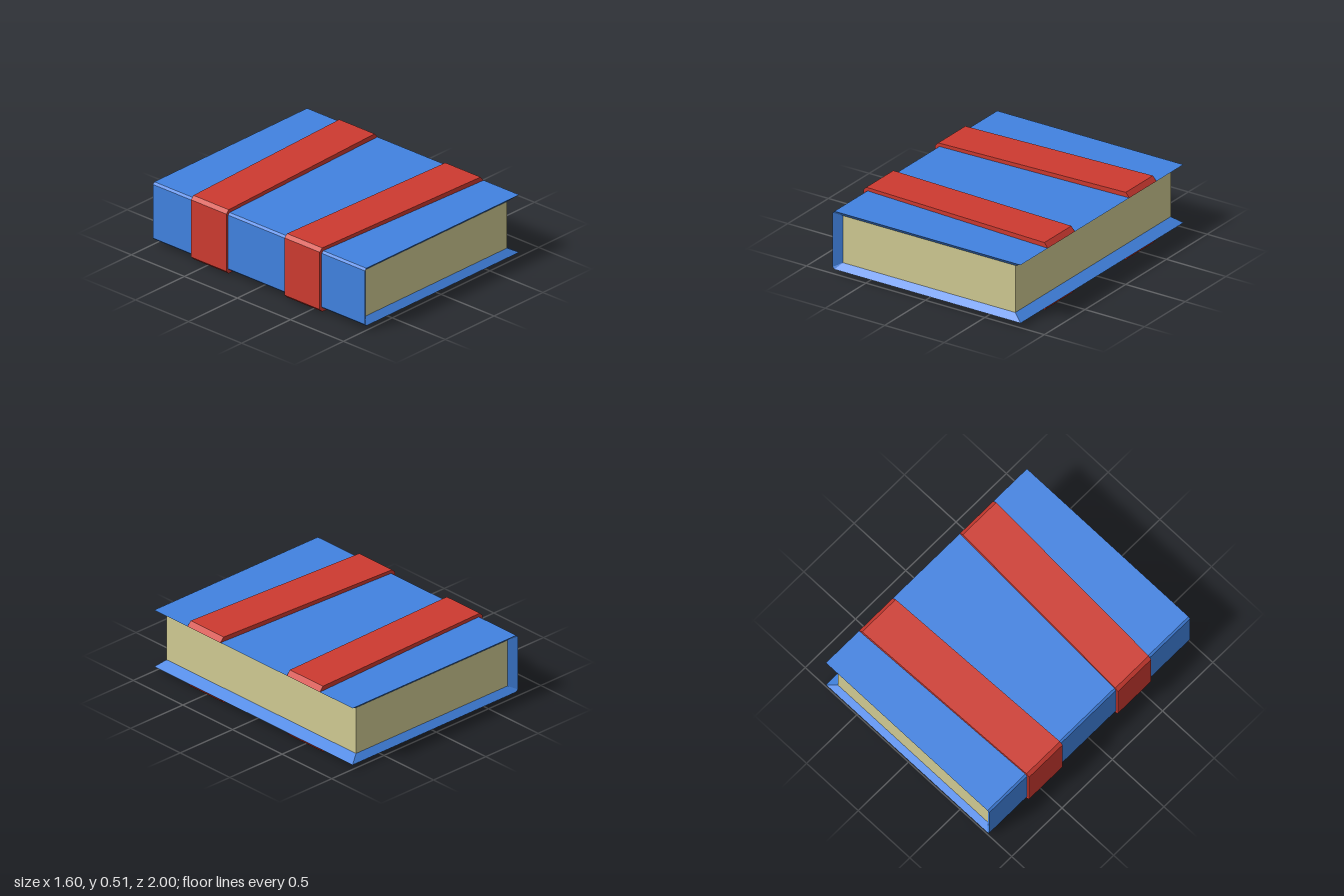
import * as THREE from 'three';

const material = (name, color) => {
  const m = new THREE.MeshStandardMaterial({ color });
  m.name = name;
  return m;
};

// Hollow cover: outer C-shaped profile with mitred lips running in to the pages
function coverGeometry() {
  const outer = [[0.8, 0.48], [-0.765, 0.48], [-0.78, 0.465], [-0.78, 0.05], [-0.765, 0.035], [0.8, 0.035]];
  const inner = [[0.725, 0.44], [-0.725, 0.44], [-0.725, 0.44], [-0.725, 0.08], [-0.725, 0.08], [0.725, 0.08]];
  const at = (profile, z) => profile.map(([x, y]) => [x, y, z]);
  const loops = [at(inner, -0.955), at(outer, -1), at(outer, 1), at(inner, 0.955)];
  const pos = [];
  const quad = (a, b, c, d) => pos.push(...a, ...b, ...c, ...a, ...c, ...d);
  for (let j = 0; j < 3; j++) {
    for (let i = 0; i < 5; i++) {
      quad(loops[j][i], loops[j][i + 1], loops[j + 1][i + 1], loops[j + 1][i]);
    }
  }
  // Lips along the open edge of both boards
  const [ib, ob, of, inf] = loops;
  quad(ob[0], of[0], inf[0], ib[0]);
  quad(ib[5], inf[5], of[5], ob[5]);
  const g = new THREE.BufferGeometry();
  g.setAttribute('position', new THREE.Float32BufferAttribute(pos, 3));
  g.computeVertexNormals();
  return g;
}

// Strap wrapped around the spine, its sides slanting from zLeft to zRight
function strapGeometry(zLeft, zRight, width) {
  const profile = [
    [0.8, 0.48], [0.77, 0.515], [-0.775, 0.505], [-0.8, 0.48], [-0.8, 0.037], [-0.775, 0.012],
    [0.77, 0], [0.8, 0.035], [-0.765, 0.035], [-0.78, 0.05], [-0.78, 0.465], [-0.765, 0.48],
  ];
  const shape = new THREE.Shape(profile.map(([x, y]) => new THREE.Vector2(x, y)));
  const g = new THREE.ExtrudeGeometry(shape, { depth: 1, bevelEnabled: false });
  const p = g.attributes.position;
  for (let i = 0; i < p.count; i++) {
    const t = (p.getX(i) + 0.8) / 1.6;
    p.setZ(i, zLeft + (zRight - zLeft) * t + p.getZ(i) * width);
  }
  g.computeVertexNormals();
  return g;
}

export function createModel() {
  const blue = material('cover blue', 0x4182e0);
  const red = material('strap red', 0xcd3a30);
  const cream = material('page cream', 0xd0ca92);
  const book = new THREE.Group();
  book.name = 'book';
  const add = (name, geometry, mat) => {
    const mesh = new THREE.Mesh(geometry, mat);
    mesh.name = name;
    book.add(mesh);
    return mesh;
  };

  add('cover', coverGeometry(), blue);
  add('pages', new THREE.BoxGeometry(1.45, 0.36, 1.91), cream).position.y = 0.26;
  add('frontStrap', strapGeometry(0.26, 0.333, 0.332), red);
  add('backStrap', strapGeometry(-0.622, -0.67, 0.333), red);
  return book;
}
